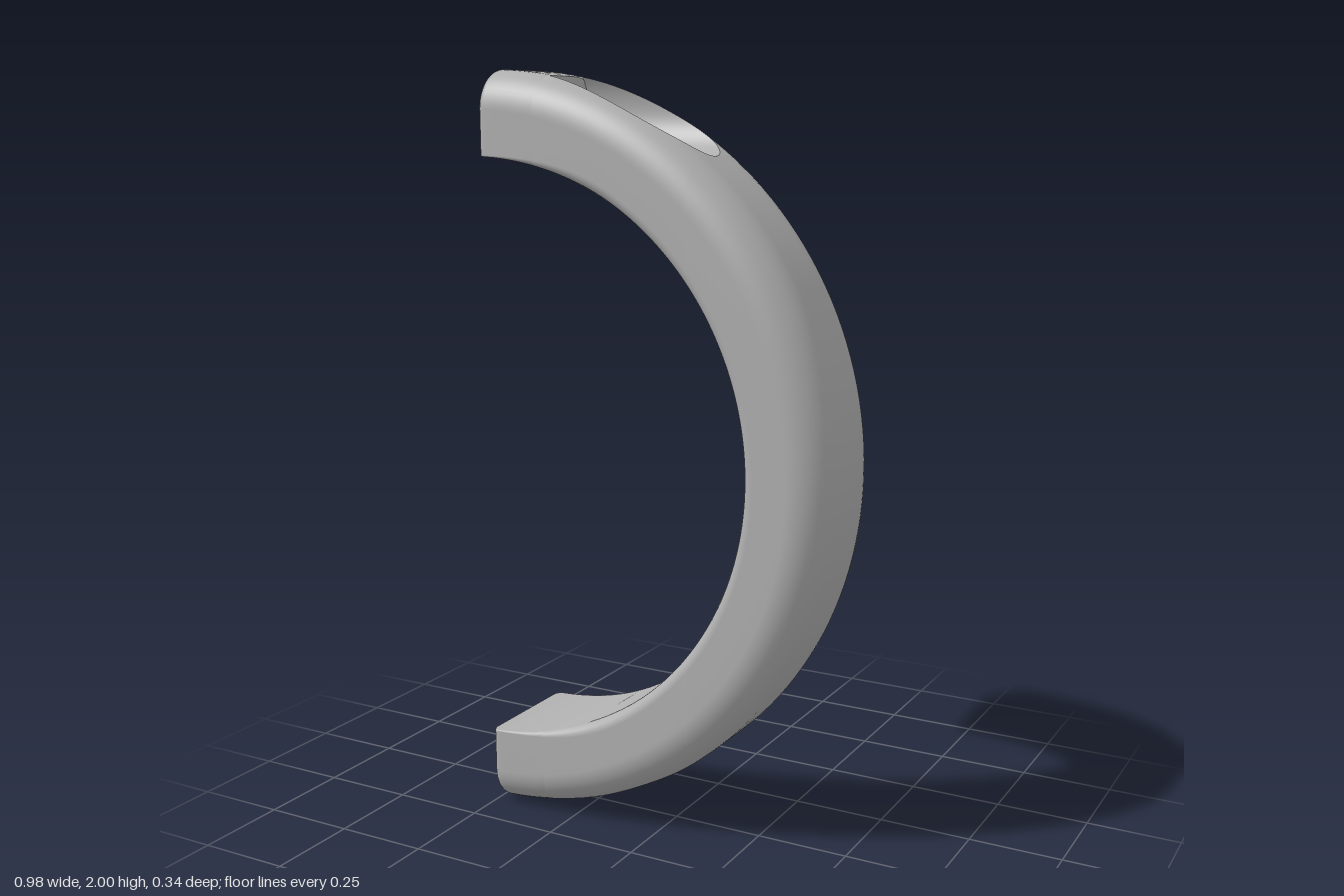
import * as THREE from 'three';

// Ring: centre x, radii, half width, outer corner radius
const C = -0.51, RO = 1, RI = 0.78, W = 0.168, CORNER = 0.1;
const FLAT = W - CORNER, ARC = FLAT + CORNER * Math.PI / 2;
// Screw bore: height, pocket radius, upper half-height, hole radius
const BY = 1.893, BR = 0.109, BUP = 0.13, HOLE = 0.052;
const X_END = -0.49, X_FLOOR = -0.325, EDGE = 0.02;
const X_TIP = C + Math.sqrt(RO * RO - (BY - BR - 1) ** 2);

// Outer profile [radius, z] at a distance along it from the middle
function outer(a) {
  if (a <= FLAT) return [RO, a];
  const q = (a - FLAT) / CORNER;
  return [RO - CORNER * (1 - Math.cos(q)), FLAT + CORNER * Math.sin(q)];
}
const heightAt = (r, x) => 1 + Math.sqrt(r * r - (x - C) ** 2);

// Distance along the profile where the pocket breaks through
function rimAt(x) {
  let lo = 0, hi = ARC;
  for (let i = 0; i < 40; i++) {
    const m = (lo + hi) / 2, [r, z] = outer(m), dy = heightAt(r, x) - BY;
    const inside = (z / BR) ** 2 + (dy / (dy > 0 ? BUP : BR)) ** 2 < 1;
    if (inside) lo = m; else hi = m;
  }
  return lo;
}

// Cross-section from one pocket rim, round the inside, to the other rim
function section({ x, a = 0, t = 1, inset = 0 }) {
  const half = [];
  for (let i = 0; i <= 16; i++) half.push(outer(a + (ARC - a) * i / 16));
  const f = 0.004 + 0.026 * THREE.MathUtils.smoothstep(x, X_END, -0.1);
  for (let i = 0; i <= 5; i++) {
    const q = i / 5 * Math.PI / 2;
    half.push([RI + f * (1 - Math.sin(q)), W - f * (1 - Math.cos(q))]);
  }
  const loop = [...half, ...half.slice().reverse().map(([r, z]) => [r, -z])];
  return loop.map(([r, z]) => {
    const rr = r - inset * THREE.MathUtils.clamp((r - 0.89) / 0.11, 0, 1);
    const ang = t * Math.acos((x - C) / rr);
    return new THREE.Vector3(C + rr * Math.cos(ang), 1 + rr * Math.sin(ang), z * (1 - inset / W));
  });
}

// Pocket wall cross-section, rim to rim through the bottom
function pocketSection(x) {
  const [r, z] = outer(rimAt(x)), dy = heightAt(r, x) - BY;
  const h = Math.atan2(dy / (dy > 0 ? BUP : BR), z / BR) + Math.PI / 2;
  return Array.from({ length: 33 }, (_, j) => {
    const p = -Math.PI / 2 - h + 2 * h * j / 32, s = Math.sin(p);
    return new THREE.Vector3(x, BY + s * (s > 0 ? BUP : BR), BR * Math.cos(p));
  });
}

// Skin through a list of equal-length cross-sections
function loft(rows) {
  const n = rows[0].length, index = [];
  for (let i = 0; i < rows.length - 1; i++) {
    for (let j = 0; j < n - 1; j++) {
      const p = i * n + j, q = p + n;
      index.push(p, p + 1, q, p + 1, q + 1, q);
    }
  }
  const g = new THREE.BufferGeometry().setFromPoints(rows.flat());
  g.setIndex(index);
  g.computeVertexNormals();
  return g;
}

// Flat plate in the yz plane with the screw hole cut through it
function plate(points, x, facing) {
  const shape = new THREE.Shape(points.map(p => new THREE.Vector2(-facing * p.z, p.y)));
  shape.holes.push(new THREE.Path().absarc(0, BY, HOLE, 0, Math.PI * 2));
  return new THREE.ShapeGeometry(shape, 24).rotateY(facing * Math.PI / 2).translate(x, 0, 0);
}

export function createModel() {
  const grey = new THREE.MeshStandardMaterial({ color: 0xb0b0b0, side: THREE.DoubleSide });
  grey.name = 'grey';
  const model = new THREE.Group();
  model.name = 'clampHalf';
  const add = (parent, name, geometry) => {
    const mesh = new THREE.Mesh(geometry, grey);
    mesh.name = name;
    parent.add(mesh);
    return mesh;
  };

  // Stations along one arm: rounded end, solid lug, open pocket
  const arm = [], pocketX = [];
  for (let i = 0; i <= 5; i++) {
    const q = i / 5 * Math.PI / 2;
    arm.push({ x: X_END + EDGE * (1 - Math.cos(q)), inset: EDGE * (1 - Math.sin(q)) });
  }
  for (let i = 1; i <= 5; i++) {
    arm.push({ x: THREE.MathUtils.lerp(X_END + EDGE, X_FLOOR, i / 5) });
  }
  for (let i = 0; i <= 28; i++) {
    const x = X_TIP - (X_TIP - X_FLOOR) * (1 - i / 28) ** 2;
    pocketX.push(x);
    arm.push({ x, a: i === 28 ? 0 : rimAt(x) });
  }

  // Curved body: upper arm, middle bend, mirrored lower arm
  const bend = [];
  for (let i = 1; i < 48; i++) bend.push({ x: X_TIP, t: 1 - 2 * i / 48 });
  const lower = arm.slice().reverse().map(s => ({ ...s, t: -1 }));
  add(model, 'curvedBody', loft([...arm, ...bend, ...lower].map(section)));

  // Screw seat and end face for each arm
  for (const side of ['upper', 'lower']) {
    const seat = new THREE.Group();
    seat.name = side + 'ScrewSeat';
    add(seat, 'pocketWall', loft(pocketX.map(pocketSection)));
    add(seat, 'pocketFloor', plate(pocketSection(X_FLOOR), X_FLOOR, 1));
    add(seat, 'endFace', plate(section(arm[0]).slice(0, -1), X_END, -1));
    const hole = new THREE.CylinderGeometry(HOLE, HOLE, X_FLOOR - X_END, 32, 1, true);
    hole.rotateZ(Math.PI / 2).translate((X_END + X_FLOOR) / 2, BY, 0);
    add(seat, 'screwHole', hole);
    if (side === 'lower') {
      seat.rotation.x = Math.PI;
      seat.position.y = 2;
    }
    model.add(seat);
  }
  return model;
}
